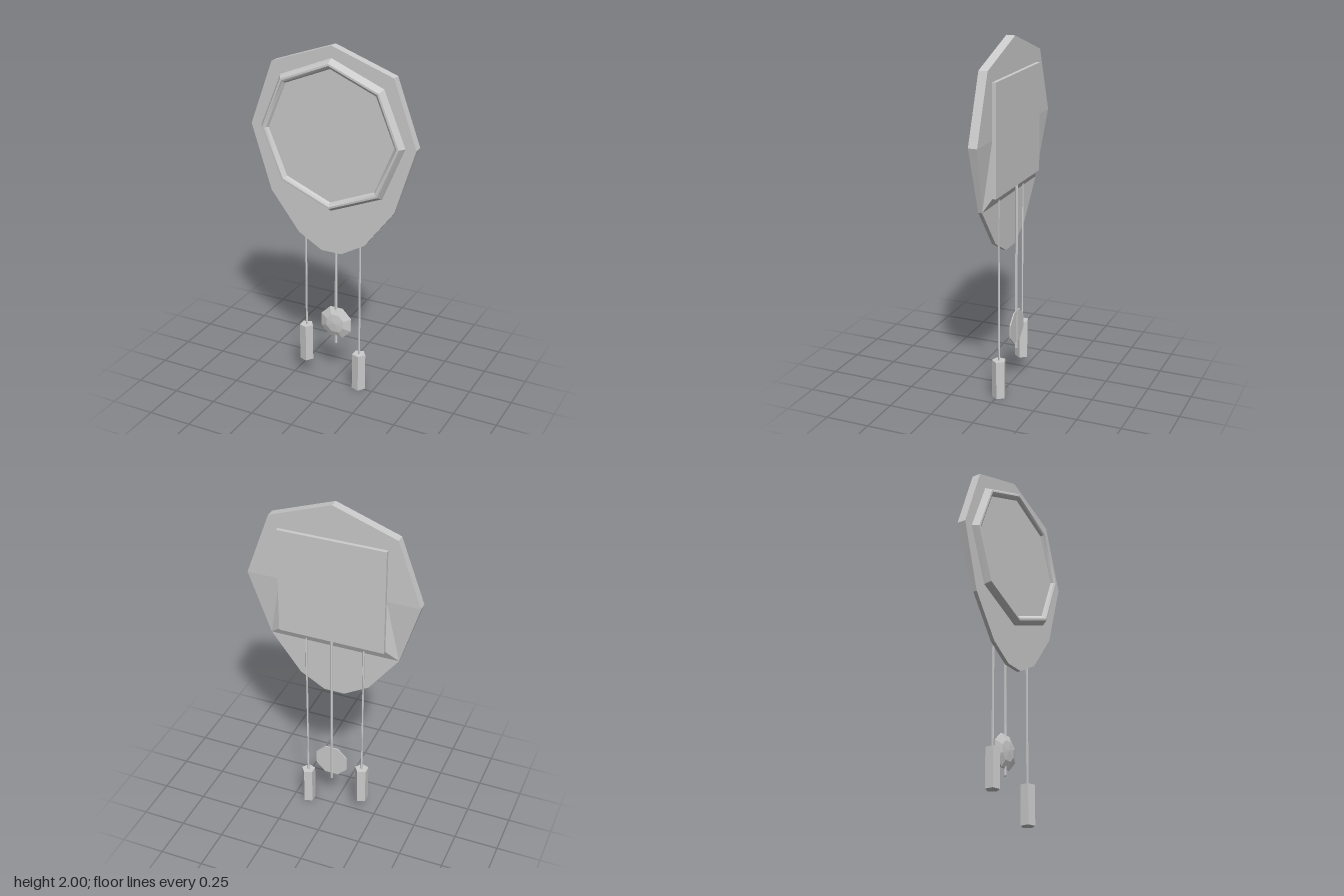
import * as THREE from 'three';
import { toCreasedNormals } from 'three/addons/utils/BufferGeometryUtils.js';

const CY = 1.51; // height of the dial centre

export function createModel() {
  const group = new THREE.Group();
  const flat = new THREE.MeshStandardMaterial({ color: 0xcccccc, flatShading: true });
  const smooth = new THREE.MeshStandardMaterial({ color: 0xcccccc });

  const add = (name, geometry, x, y, z, material = flat, parent = group) => {
    const mesh = new THREE.Mesh(geometry, material);
    mesh.name = name;
    mesh.position.set(x, y, z);
    parent.add(mesh);
    return mesh;
  };
  // Eight-sided turned part whose axis points to the front
  const turned = (profile) => new THREE.LatheGeometry(
    profile.map(([r, h]) => new THREE.Vector2(r, h)), 8).rotateX(Math.PI / 2);

  // Case, back cover
  add('case', caseGeometry(), 0, 0, 0);
  add('backCover', new THREE.BoxGeometry(0.602, 0.61, 0.022), 0, 1.505, -0.044);

  // Dial and its raised rim
  const rim = turned([[0.425, 0.016], [0.416, 0.032], [0.403, 0.051], [0.392, 0.052], [0.38, 0.045], [0.37, 0.03]]);
  add('dialRim', toCreasedNormals(rim, 0.55), 0, CY, 0, smooth);
  add('dial', new THREE.CircleGeometry(0.372, 8), 0, CY, 0.031);

  // Pendulum
  const pendulum = new THREE.Group();
  pendulum.name = 'pendulum';
  group.add(pendulum);
  add('pendulumRod', new THREE.CylinderGeometry(0.008, 0.008, 0.975, 6), 0, 0.7225, -0.043, flat, pendulum);
  const bob = turned([[0, 0], [0.101, 0], [0.101, 0.006], [0.058, 0.023], [0, 0.028]]);
  bob.rotateZ(Math.PI / 8);
  add('pendulumBob', bob, 0, 0.368, -0.048, flat, pendulum);

  // Two hanging weights at different heights
  for (const [side, x, bottom] of [['right', -0.171, 0.11], ['left', 0.163, 0]]) {
    const hanging = new THREE.Group();
    hanging.name = side + 'HangingWeight';
    group.add(hanging);
    const top = bottom + 0.222;
    const weight = new THREE.CylinderGeometry(0.04, 0.04, 0.222, 5).rotateY(Math.PI / 2);
    add(side + 'Weight', weight, x, bottom + 0.111, -0.008, flat, hanging);
    const cord = new THREE.CylinderGeometry(0.006, 0.006, 1.17 - top, 5).rotateY(Math.PI / 2);
    add(side + 'Cord', cord, x, (1.17 + top) / 2, -0.009, flat, hanging);
  }
  return group;
}

// Case: flat front, thick upper part, thin apron below, mirrored about x = 0
function caseGeometry() {
  const outline = [[0, 2], [0.353, 1.875], [0.486, CY], [0.37, 1.14], [0.2, 0.917], [0.06, 0.836], [0, 0.836]];
  const thick = -0.034, thin = -0.006;
  const F = outline.map(([x, y]) => [x, y, 0.016]);
  const B = outline.map(([x, y], i) => [x, y, i < 3 ? thick : thin]);
  const mid = [0.3, CY, thick], corner = [0.3, 1.2, thick];
  const midAxis = [0, CY, thick], lowAxis = [0, 1.2, thick], apronAxis = [0, 1.14, thin];

  const faces = [
    [...F].reverse(),
    [B[0], B[1], B[2], mid, midAxis],
    [midAxis, mid, corner, lowAxis],
    [B[2], B[3], mid],
    [mid, B[3], corner],
    [lowAxis, corner, B[3], apronAxis], // step down to the apron
    [apronAxis, B[3], B[4], B[5], B[6]],
  ];
  for (let i = 0; i < 6; i++) faces.push([F[i], F[i + 1], B[i + 1], B[i]]);

  const positions = [];
  for (const face of faces) {
    for (let i = 1; i < face.length - 1; i++) {
      const [a, b, c] = [face[0], face[i], face[i + 1]];
      positions.push(...a, ...b, ...c);
      for (const [x, y, z] of [a, c, b]) positions.push(-x, y, z);
    }
  }
  const geometry = new THREE.BufferGeometry();
  geometry.setAttribute('position', new THREE.Float32BufferAttribute(positions, 3));
  geometry.computeVertexNormals();
  return geometry;
}
